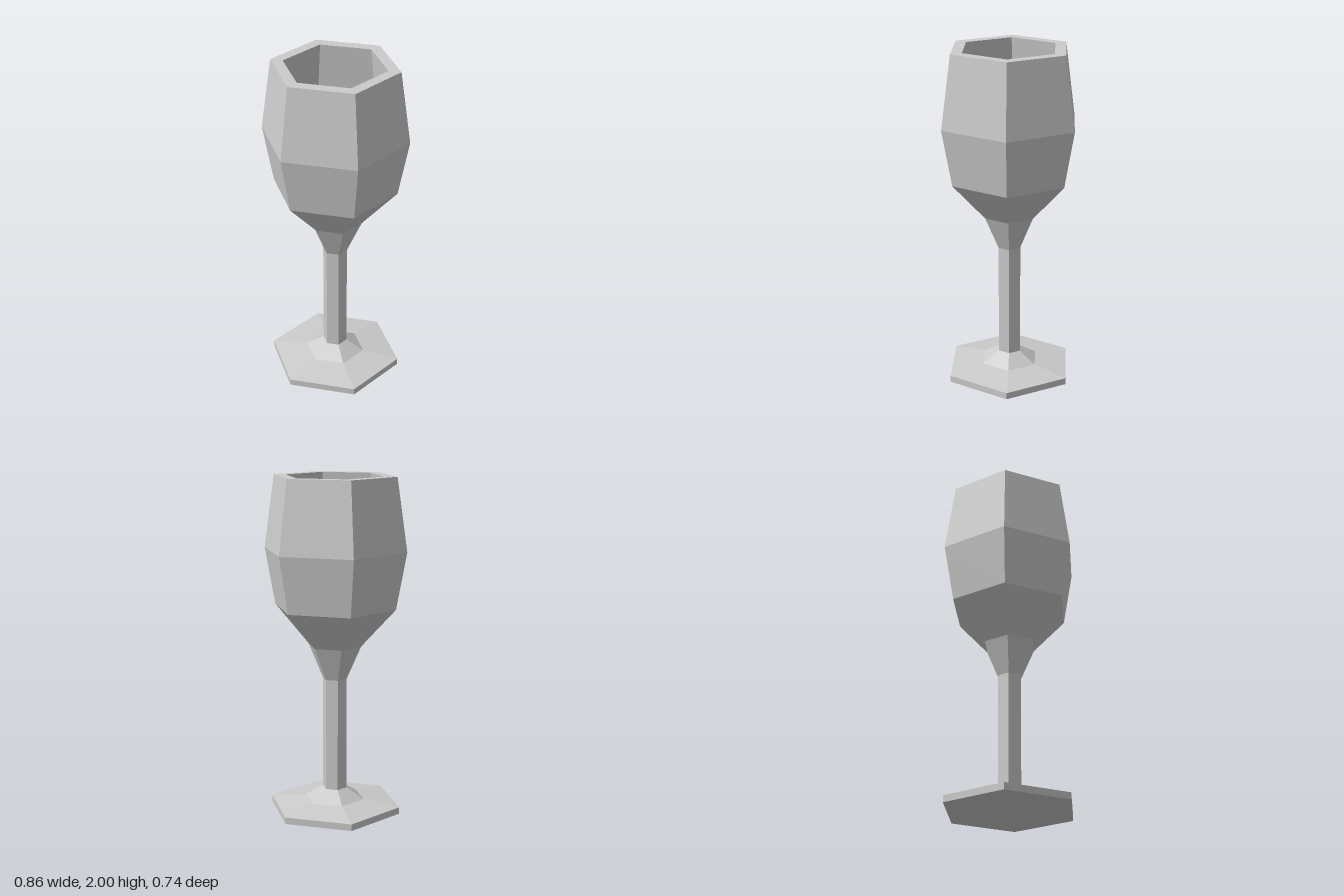
import * as THREE from 'three';

const material = new THREE.MeshStandardMaterial({ color: 0xcccccc, flatShading: true });

// Six-sided turned part with corners on the x axis; profile is [radius, height] pairs
function hexLathe(name, profile) {
  const points = profile.map(([r, y]) => new THREE.Vector2(r, y));
  const geometry = new THREE.LatheGeometry(points, 6, Math.PI / 2).toNonIndexed();
  geometry.computeVertexNormals();
  const mesh = new THREE.Mesh(geometry, material);
  mesh.name = name;
  return mesh;
}

export function createModel() {
  const glass = new THREE.Group();
  glass.name = 'wineGlass';

  // Flat foot rising to the stem
  glass.add(hexLathe('foot', [[0, 0], [0.4, 0], [0.4, 0.04], [0.18, 0.07], [0.073, 0.135]]));

  // Straight stem
  glass.add(hexLathe('stem', [[0.073, 0.135], [0.073, 0.81]]));

  // Bowl: outer wall up to the rim, then the hollow inside down to its floor
  glass.add(hexLathe('bowl', [
    [0.073, 0.81], [0.16, 1.01], [0.367, 1.24], [0.429, 1.575], [0.367, 2],
    [0.295, 2], [0.355, 1.575], [0.262, 1.26], [0, 1.26],
  ]));

  return glass;
}
